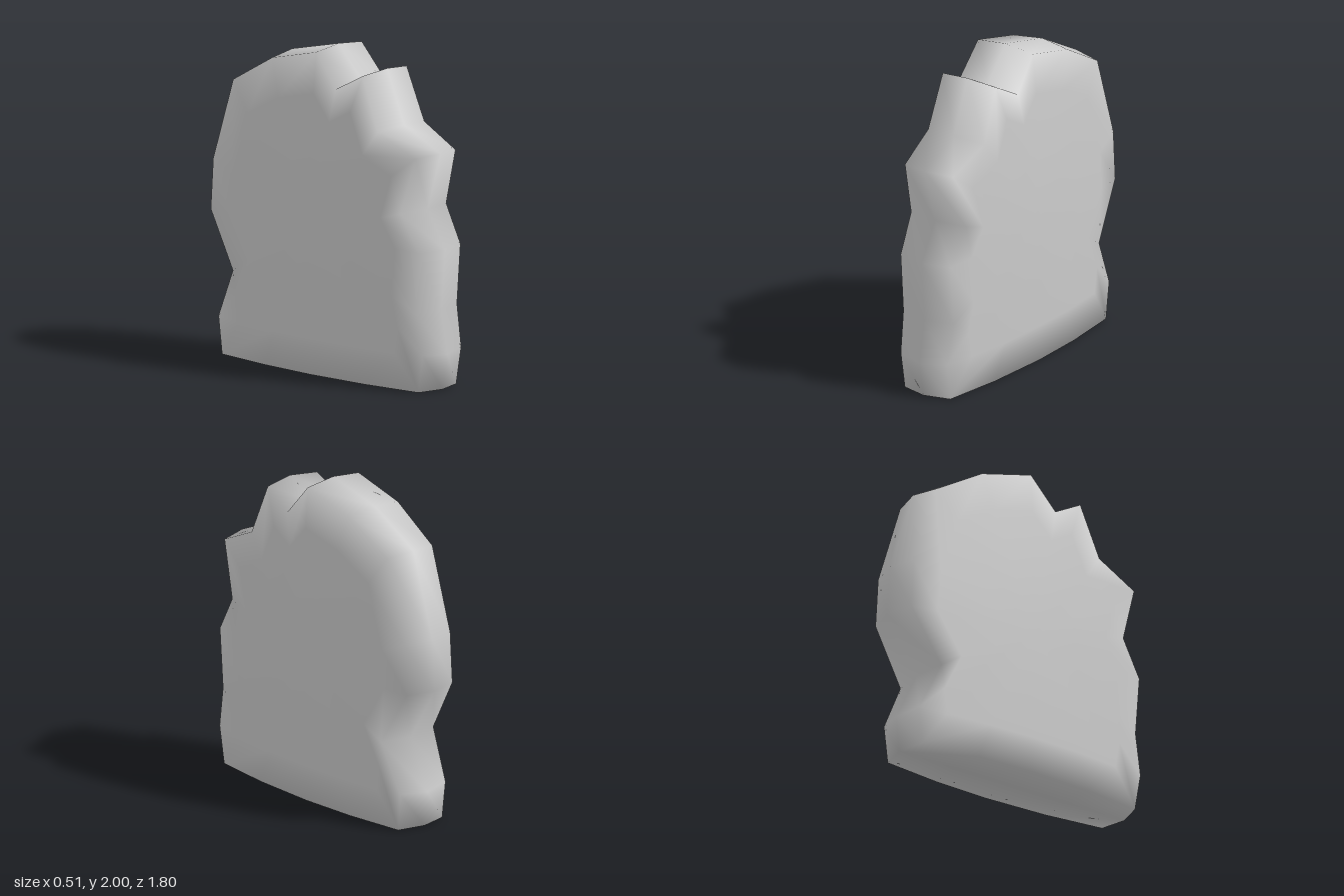
import * as THREE from 'three';

// Outline in (z, y), front bottom corner up over the notched crest and down the back
const OUTLINE = [
  [0.86, 0], [0.9, 0.22], [0.85, 0.48], [0.88, 0.86], [0.74, 1.09], [0.845, 1.445],
  [0.55, 1.575], [0.41, 1.905], [0.2, 1.795], [0.02, 2], [-0.36, 1.91], [-0.71, 1.72],
  [-0.88, 1.2], [-0.9, 0.88], [-0.685, 0.53], [-0.835, 0.22], [-0.81, 0],
  [-0.4, 0], [0, 0], [0.45, 0],
];
const MID_Y = 0.9;

// Half thickness of the slab, fullest in the middle
function halfWidth(z, y) {
  const dy = y - MID_Y;
  return 0.255 - 0.1 * z * z - (dy > 0 ? 0.045 : 0.025) * dy * dy;
}

function slabGeometry() {
  // Rings from the left face, over the outer ridge, to the right face: [side, z scale, y scale]
  const half = [[0.4, 0.4], [0.75, 0.75], [0.95, 0.98]];
  const rings = [
    ...half.map(([sz, sy]) => [1, sz, sy]),
    [0, 1, 1],
    ...half.slice().reverse().map(([sz, sy]) => [-1, sz, sy]),
  ];
  const n = OUTLINE.length;
  const positions = [];
  const index = [];

  for (const [side, sz, sy] of rings) {
    for (const [oz, oy] of OUTLINE) {
      const z = oz * sz;
      // the rim stays flat on the ground along the base
      const y = oy === 0 && sy > 0.9 ? 0 : MID_Y + (oy - MID_Y) * sy;
      positions.push(side * halfWidth(z, y), y, z);
    }
  }
  const left = positions.length / 3;
  const right = left + 1;
  positions.push(halfWidth(0, MID_Y), MID_Y, 0, -halfWidth(0, MID_Y), MID_Y, 0);

  const last = (rings.length - 1) * n;
  for (let i = 0; i < n; i++) {
    const j = (i + 1) % n;
    index.push(left, j, i);
    for (let k = 0; k < rings.length - 1; k++) {
      const a = k * n + i, d = k * n + j;
      index.push(a, d, d + n, a, d + n, a + n);
    }
    index.push(last + i, last + j, right);
  }

  const geometry = new THREE.BufferGeometry();
  geometry.setAttribute('position', new THREE.Float32BufferAttribute(positions, 3));
  geometry.setIndex(index);
  geometry.computeVertexNormals();
  return geometry;
}

export function createModel() {
  const group = new THREE.Group();
  group.name = 'notchedSlab';
  const material = new THREE.MeshStandardMaterial({ color: 0xcccccc });
  const body = new THREE.Mesh(slabGeometry(), material);
  body.name = 'slabBody';
  group.add(body);
  return group;
}
